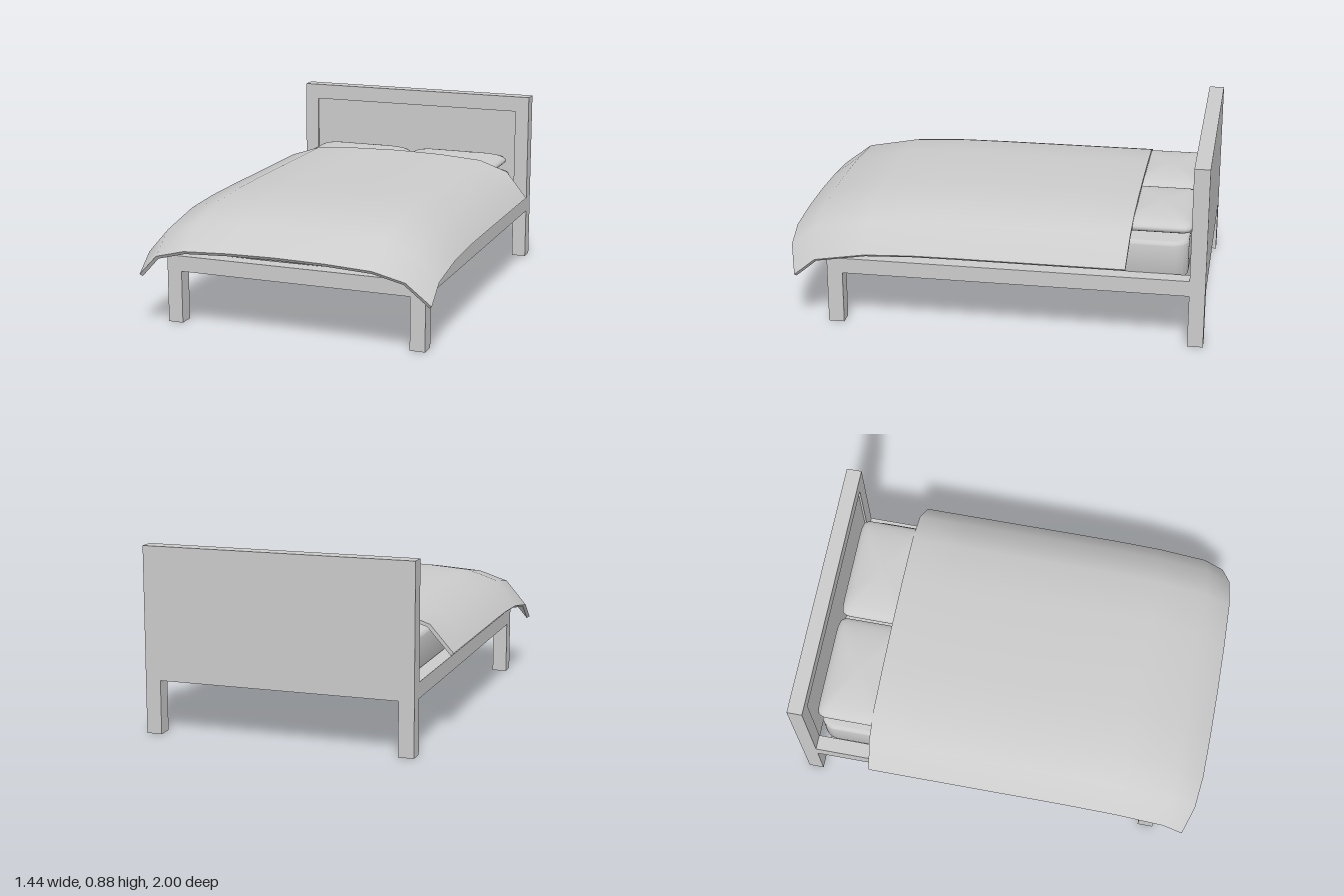
import * as THREE from 'three';
import { toCreasedNormals } from 'three/addons/utils/BufferGeometryUtils.js';

const material = new THREE.MeshStandardMaterial({ color: 0xcccccc });

function add(parent, name, geometry) {
  const mesh = new THREE.Mesh(geometry, material);
  mesh.name = name;
  parent.add(mesh);
  return mesh;
}

// Box given by its minimum and maximum corners
function box(parent, name, [x0, y0, z0], [x1, y1, z1]) {
  const mesh = add(parent, name, new THREE.BoxGeometry(x1 - x0, y1 - y0, z1 - z0));
  mesh.position.set((x0 + x1) / 2, (y0 + y1) / 2, (z0 + z1) / 2);
  return mesh;
}

// Rounded slab: rounded corners in plan, softened top and bottom edges
function mattressGeometry(w, d, h, r, bevel) {
  const a = w / 2 - bevel, b = d / 2 - bevel;
  const s = new THREE.Shape();
  s.moveTo(-a + r, -b);
  s.absarc(a - r, -b + r, r, -Math.PI / 2, 0);
  s.absarc(a - r, b - r, r, 0, Math.PI / 2);
  s.absarc(-a + r, b - r, r, Math.PI / 2, Math.PI);
  s.absarc(-a + r, -b + r, r, Math.PI, Math.PI * 1.5);
  const g = new THREE.ExtrudeGeometry(s, {
    depth: h - 2 * bevel, bevelSize: bevel, bevelThickness: bevel, bevelSegments: 4, curveSegments: 8,
  });
  g.rotateX(-Math.PI / 2).translate(0, bevel, 0);
  return toCreasedNormals(g, 0.7);
}

// Pillow: a sphere squared off in plan and flattened
function pillowGeometry(w, h, d) {
  const g = new THREE.SphereGeometry(1, 64, 24);
  const p = g.attributes.position;
  for (let i = 0; i < p.count; i++) {
    const x = p.getX(i), y = p.getY(i), z = p.getZ(i);
    const r = Math.hypot(x, z);
    const n = 12;
    const k = r > 1e-6 ? 1 / Math.pow(Math.abs(x / r) ** n + Math.abs(z / r) ** n, 1 / n) : 0;
    const y2 = Math.sign(y) * Math.pow(Math.abs(y), 0.9);
    p.setXYZ(i, x * k * w / 2, y2 * h / 2, z * k * d / 2);
  }
  g.computeVertexNormals();
  return g;
}

// Duvet: a thin draped sheet that drops at both sides and at the foot
function duvetGeometry(thickness) {
  const half = [[0.24, 0.005], [0.46, 0.02], [0.61, 0.07], [0.72, 0.2]];
  const across = [...half.map(([x, f]) => [-x, f]).reverse(), [0, 0], ...half];
  const along = [[-0.65, 0], [-0.4, 0], [-0.1, 0], [0.15, 0], [0.37, 0.002], [0.6, 0.015], [0.86, 0.065], [1, 0.17]];
  const nx = across.length, nz = along.length, count = nx * nz;
  const top = [], faces = [];
  along.forEach(([z, g], j) => across.forEach(([x, f]) => {
    const pull = j === 0 ? 0.08 * f : -0.3 * f * g / 0.17;
    top.push(x, 0.6 - f - g + f * g, z + pull);
  }));
  for (let j = 0; j < nz - 1; j++) for (let i = 0; i < nx - 1; i++) {
    const a = j * nx + i, b = a + 1, c = a + nx, d = c + 1;
    faces.push(a, c, b, b, c, d);
  }
  const sheet = new THREE.BufferGeometry();
  sheet.setAttribute('position', new THREE.Float32BufferAttribute(top, 3));
  sheet.setIndex(faces);
  sheet.computeVertexNormals();

  // Underside follows the top along its normals, then the rim closes the two
  const normals = sheet.attributes.normal.array;
  const positions = [...top, ...top.map((v, i) => v - normals[i] * thickness)];
  const index = [...faces];
  for (let i = 0; i < faces.length; i += 3) {
    index.push(faces[i] + count, faces[i + 2] + count, faces[i + 1] + count);
  }
  const rim = [];
  for (let j = 0; j < nz - 1; j++) rim.push(j * nx);
  for (let i = 0; i < nx - 1; i++) rim.push((nz - 1) * nx + i);
  for (let j = nz - 1; j > 0; j--) rim.push(j * nx + nx - 1);
  for (let i = nx - 1; i > 0; i--) rim.push(i);
  rim.forEach((a, k) => {
    const b = rim[(k + 1) % rim.length];
    index.push(a, a + count, b, b, a + count, b + count);
  });
  const g = new THREE.BufferGeometry();
  g.setAttribute('position', new THREE.Float32BufferAttribute(positions, 3));
  g.setIndex(index);
  return toCreasedNormals(g, 0.9);
}

export function createModel() {
  const bed = new THREE.Group();
  bed.name = 'bed';
  const W = 0.645, IN = 0.572, railY = 0.255, railTop = 0.33;

  // Frame: legs, posts and rails
  const frame = new THREE.Group();
  frame.name = 'frame';
  bed.add(frame);
  for (const [side, s] of [['left', 1], ['right', -1]]) {
    const x0 = Math.min(s * IN, s * W), x1 = Math.max(s * IN, s * W);
    box(frame, side + 'FrontLeg', [x0, 0, 0.725], [x1, railTop, 0.8]);
    box(frame, side + 'HeadPost', [x0, 0, -1], [x1, 0.88, -0.926]);
    box(frame, side + 'SideRail', [x0, railY, -0.926], [x1, railTop, 0.725]);
  }
  box(frame, 'footRail', [-IN, railY, 0.725], [IN, railTop, 0.8]);

  // Headboard with a slightly recessed panel
  box(frame, 'headboardTopRail', [-IN, 0.8, -1], [IN, 0.88, -0.926]);
  box(frame, 'headboardPanel', [-IN, railY, -1], [IN, 0.8, -0.936]);

  // Slats under the mattress
  const slats = new THREE.Group();
  slats.name = 'slats';
  bed.add(slats);
  for (let i = 0; i < 13; i++) {
    const z = -0.87 + i * 0.122;
    box(slats, 'slat', [-IN, 0.28, z], [IN, 0.3, z + 0.09]);
  }

  // Bedding
  const mattress = add(bed, 'mattress', mattressGeometry(1.136, 1.62, 0.185, 0.06, 0.02));
  mattress.position.set(0, 0.3, -0.1);
  for (const [side, s] of [['left', 1], ['right', -1]]) {
    const pillow = add(bed, side + 'Pillow', pillowGeometry(0.53, 0.1, 0.33));
    pillow.position.set(s * 0.271, 0.535, -0.76);
  }
  add(bed, 'duvet', duvetGeometry(0.018));
  return bed;
}
